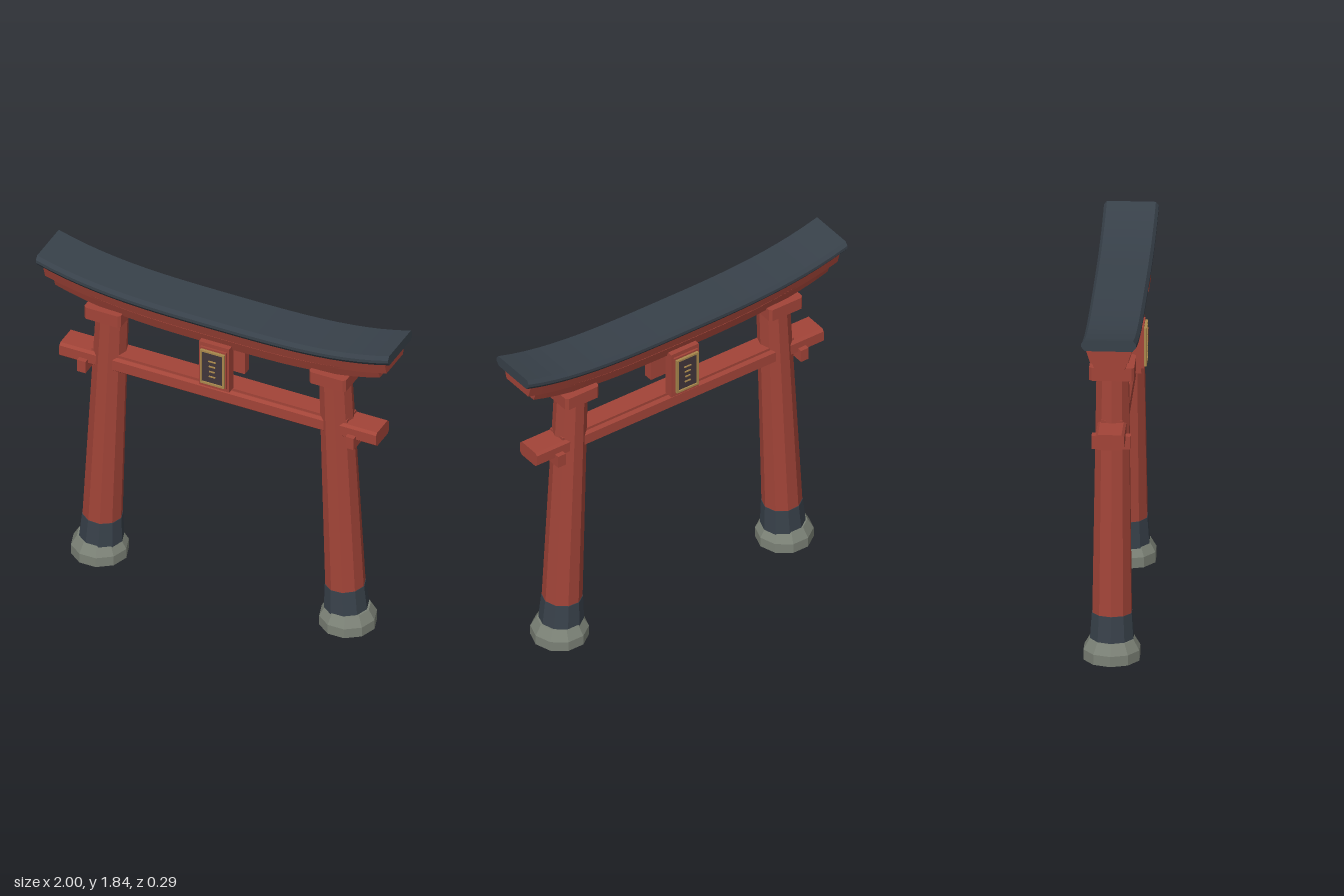
import * as THREE from 'three';

const mat = (name, color) => {
  const m = new THREE.MeshStandardMaterial({ color });
  m.name = name;
  return m;
};

export function createModel() {
  const red = mat('vermilion', 0xa24438);
  const dark = mat('charcoal', 0x38414a);
  const stone = mat('stone', 0x7b8176);
  const gold = mat('gold', 0xa8874c);
  const panel = mat('dark panel', 0x40353a);
  for (const m of [red, dark, stone, gold, panel]) m.flatShading = true;

  const root = new THREE.Group();
  root.name = 'gate';

  const add = (parent, name, geo, material, x = 0, y = 0, z = 0) => {
    const mesh = new THREE.Mesh(geo, material);
    mesh.name = name;
    mesh.position.set(x, y, z);
    parent.add(mesh);
    return mesh;
  };
  const box = (parent, name, material, w, h, d, x, y, z) =>
    add(parent, name, new THREE.BoxGeometry(w, h, d), material, x, y, z);

  // Beam along x from half a cross-section of [z, y] points, bottom to top;
  // its ends sweep upwards by rise
  const beam = (half, halfLength, rise = 0, steps = 1) => {
    const mirrored = half.map(([z, y]) => [-z, y]).reverse();
    const shape = new THREE.Shape([...half, ...mirrored].map(([z, y]) => new THREE.Vector2(z, y)));
    const geo = new THREE.ExtrudeGeometry(shape, { depth: 2 * halfLength, steps, bevelEnabled: false });
    geo.translate(0, 0, -halfLength).rotateY(Math.PI / 2);
    const p = geo.attributes.position;
    for (let i = 0; i < p.count; i++) {
      const t = Math.abs(p.getX(i)) / halfLength;
      p.setY(i, p.getY(i) + rise * Math.pow(t, 3.2));
    }
    geo.computeVertexNormals();
    return geo;
  };

  // Curved roof and the two lintel layers under it
  add(root, 'roof', beam([[0.122, 1.683], [0.14, 1.705], [0.14, 1.722], [0.125, 1.742]], 1, 0.094, 24), dark);
  add(root, 'upperLintel', beam([[0.095, 1.612], [0.12, 1.69]], 0.97, 0.087, 24), red);
  add(root, 'lowerLintel', beam([[0.075, 1.555], [0.1, 1.62]], 0.922, 0.09, 24), red);

  // Tie beam with bevelled edges and a narrow strip on top
  add(root, 'tieBeam', beam(
    [[0.06, 1.2], [0.073, 1.212], [0.073, 1.27], [0.06, 1.283]], 0.9), red);
  box(root, 'tieBeamStrip', red, 1.45, 0.02, 0.11, 0, 1.287, 0);

  // Ten-sided ring, with a corner pointing sideways
  const ring = (rTop, rBottom, h) =>
    new THREE.CylinderGeometry(rTop, rBottom, h, 10, 1, false, Math.PI / 2);

  for (const side of [1, -1]) {
    const post = new THREE.Group();
    post.name = side > 0 ? 'leftPost' : 'rightPost';
    root.add(post);

    // Stone foot
    add(post, 'footBase', ring(0.15, 0.15, 0.055), stone, side * 0.705, 0.0275);
    add(post, 'footSlope', ring(0.118, 0.15, 0.055), stone, side * 0.705, 0.0825);

    // Leaning pillar with dark sleeve
    const lean = new THREE.Group();
    lean.name = 'leaningPillar';
    lean.position.set(side * 0.7, 0, 0);
    lean.rotation.z = side * 0.043;
    post.add(lean);
    add(lean, 'sleeve', ring(0.107, 0.119, 0.17), dark, 0, 0.16);
    add(lean, 'pillar', ring(0.086, 0.105, 1.33), red, 0, 0.875);

    // Capital block with bevelled corners
    const cx = 0.104, cz = 0.115, b = 0.014;
    const plan = new THREE.Shape([
      [cx, cz - b], [cx - b, cz], [b - cx, cz], [-cx, cz - b],
      [-cx, b - cz], [b - cx, -cz], [cx - b, -cz], [cx, b - cz],
    ].map(([x, y]) => new THREE.Vector2(x, y)));
    const capital = new THREE.ExtrudeGeometry(plan, { depth: 0.07, bevelEnabled: false });
    capital.rotateX(-Math.PI / 2);
    add(post, 'capital', capital, red, side * 0.639, 1.518, 0);

    // Wedge under the tie beam end
    box(post, 'wedge', red, 0.048, 0.07, 0.2, side * 0.762, 1.198, 0);
  }

  // Plaques on both faces
  for (const face of [1, -1]) {
    const plaque = new THREE.Group();
    plaque.name = face > 0 ? 'frontPlaque' : 'backPlaque';
    if (face < 0) plaque.rotation.y = Math.PI;
    root.add(plaque);
    box(plaque, 'board', red, 0.172, 0.27, 0.05, 0, 1.447, 0.09);
    box(plaque, 'innerBoard', red, 0.148, 0.225, 0.012, 0, 1.447, 0.12);
    box(plaque, 'panel', panel, 0.118, 0.18, 0.014, 0, 1.447, 0.128);
    for (const s of [1, -1]) {
      box(plaque, 'rimSide', gold, 0.01, 0.206, 0.02, s * 0.063, 1.447, 0.13);
      box(plaque, 'rimBar', gold, 0.118, 0.01, 0.02, 0, 1.447 + s * 0.098, 0.13);
    }
    // Plain raised dashes
    [0.042, 0.036, 0.03, 0.036].forEach((w, i) =>
      box(plaque, 'dash', gold, w, 0.006, 0.008, 0, 1.49 - i * 0.031, 0.137));
  }

  return root;
}
